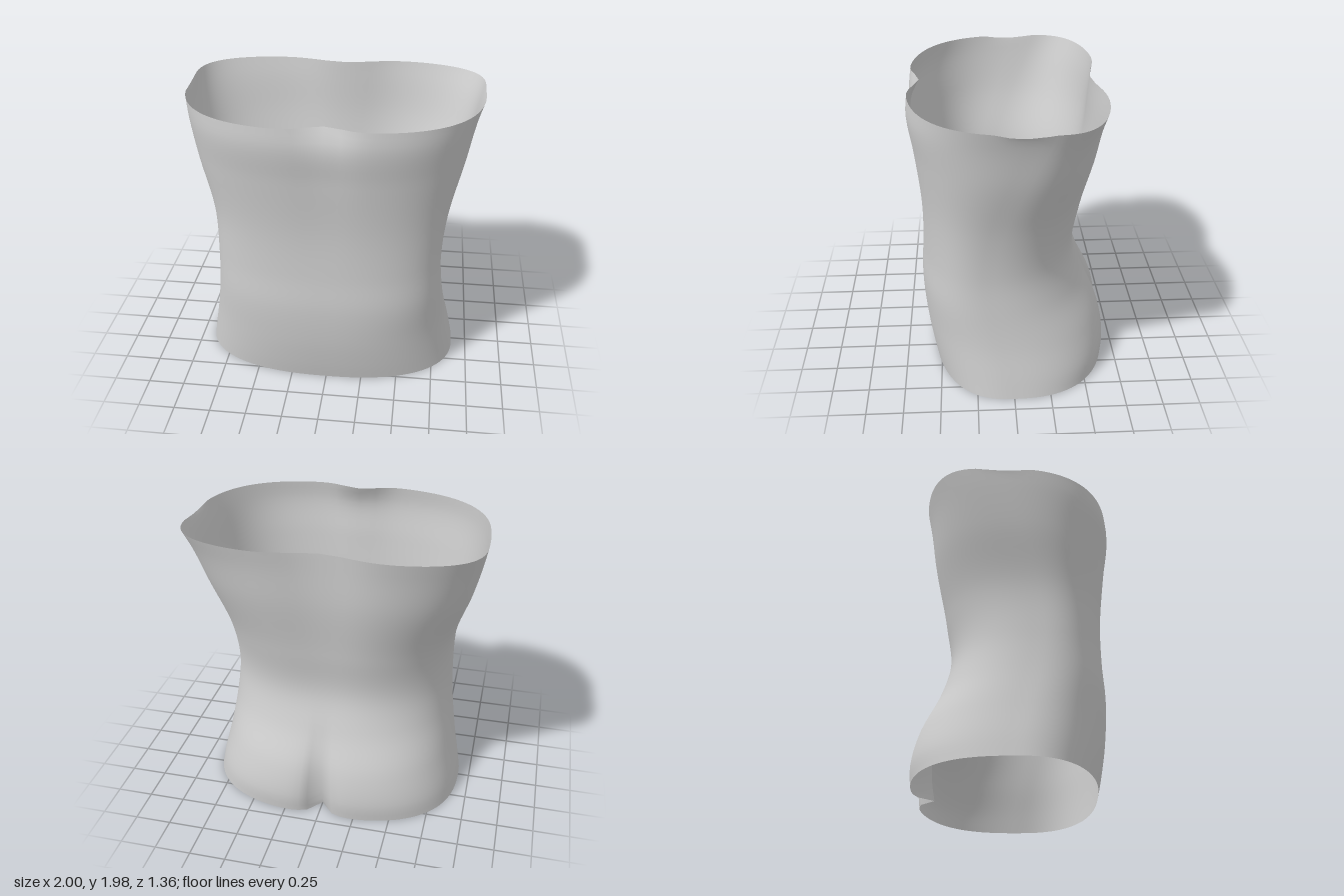
import * as THREE from 'three';

// Heights of the control sections, and for each one:
// half width right (-x), half width left (+x), front z, back z, z of widest point,
// front squareness, back squareness, spine hollow, cleft depth, chest hollow
const HEIGHTS = [0, 0.12, 0.35, 0.62, 0.87, 1.2, 1.6, 1.86, 1.98];
const SECTIONS = [
  [0.92, 0.895, 0.55, -0.685, 0.02, 2.4, 2.6, 0, 0.14, 0],
  [0.9, 0.87, 0.575, -0.695, 0.03, 2.4, 2.6, 0, 0.13, 0],
  [0.855, 0.82, 0.61, -0.65, 0.08, 2.4, 2.5, 0, 0.08, 0],
  [0.815, 0.785, 0.625, -0.525, 0.14, 2.5, 2.4, 0, 0.015, 0],
  [0.8, 0.77, 0.61, -0.46, 0.17, 2.5, 2.4, 0.015, 0, 0],
  [0.815, 0.8, 0.61, -0.505, 0.12, 2.6, 2.4, 0.03, 0, 0.005],
  [0.925, 0.9, 0.65, -0.58, -0.03, 2.7, 2.6, 0.05, 0, 0.015],
  [0.98, 0.96, 0.685, -0.61, -0.14, 2.8, 2.8, 0.065, 0, 0.035],
  [1, 1, 0.675, -0.63, -0.18, 2.8, 3, 0.08, 0, 0.08],
];
const AROUND = 128, LEVELS = 44;

function createTorsoGeometry() {
  const spline = new THREE.CubicInterpolant(HEIGHTS, SECTIONS.flat(), SECTIONS[0].length);
  const top = HEIGHTS[HEIGHTS.length - 1];
  const positions = [], indices = [];

  for (let j = 0; j <= LEVELS; j++) {
    const y = (top * j) / LEVELS;
    const [right, left, front, back, mid, pFront, pBack, spine, cleft, chest] = spline.evaluate(y);
    for (let i = 0; i < AROUND; i++) {
      // Superellipse quarter sections joined at the widest point
      const a = (i / AROUND) * Math.PI * 2, c = Math.cos(a), s = Math.sin(a);
      const isFront = s >= 0, e = 2 / (isFront ? pFront : pBack);
      const x = Math.sign(c) * Math.pow(Math.abs(c), e) * (c < 0 ? right : left);
      let z = mid + Math.pow(Math.abs(s), e) * ((isFront ? front : back) - mid);
      // Hollows along the centre line fade out towards the sides
      const depth = Math.abs(s) ** 2;
      if (isFront) z -= depth * chest * Math.exp(-((x / 0.16) ** 2));
      else z += depth * (spine * Math.exp(-((x / 0.27) ** 2)) + Math.max(cleft, 0) * Math.exp(-Math.abs(x) / 0.07));
      // The upper rim dips slightly at both sides
      const dip = j === LEVELS ? 0.018 * Math.exp(-(((z + 0.05) / 0.14) ** 4)) : 0;
      positions.push(x, y - dip, z);
    }
  }

  for (let j = 0; j < LEVELS; j++) {
    for (let i = 0; i < AROUND; i++) {
      const n = (i + 1) % AROUND, lo = j * AROUND, hi = lo + AROUND;
      indices.push(lo + i, hi + i, hi + n, lo + i, hi + n, lo + n);
    }
  }

  const geometry = new THREE.BufferGeometry();
  geometry.setAttribute('position', new THREE.Float32BufferAttribute(positions, 3));
  geometry.setIndex(indices);
  geometry.computeVertexNormals();
  return geometry;
}

export function createModel() {
  const group = new THREE.Group();
  group.name = 'torsoModel';

  const grey = new THREE.MeshStandardMaterial({ color: 0xcccccc, side: THREE.DoubleSide });
  grey.name = 'lightGrey';

  // Open shell from hips to chest
  const torso = new THREE.Mesh(createTorsoGeometry(), grey);
  torso.name = 'torsoShell';
  group.add(torso);
  return group;
}
